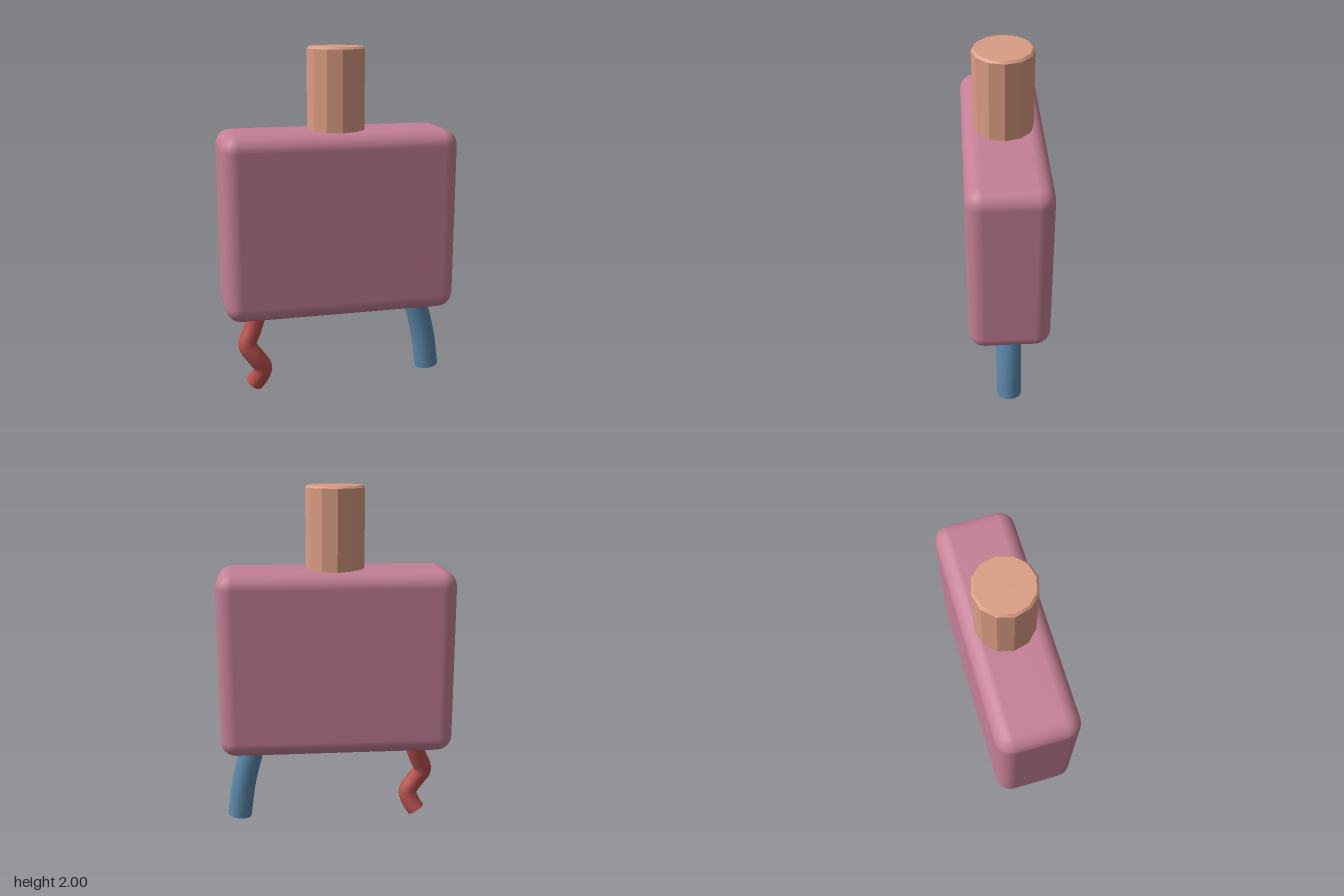
import * as THREE from 'three';
import { RoundedBoxGeometry } from 'three/addons/geometries/RoundedBoxGeometry.js';
import { toCreasedNormals } from 'three/addons/utils/BufferGeometryUtils.js';

function material(name, color) {
  const m = new THREE.MeshStandardMaterial({ color });
  m.name = name;
  return m;
}

function part(name, geometry, mat) {
  const mesh = new THREE.Mesh(geometry, mat);
  mesh.name = name;
  return mesh;
}

// Bent round rod with a flat cap on each end
function cappedTube(name, points, radius, mat) {
  const curve = new THREE.CatmullRomCurve3(points.map(p => new THREE.Vector3(...p)));
  const group = new THREE.Group();
  group.name = name;
  group.add(part(name + 'Rod', new THREE.TubeGeometry(curve, 40, radius, 16), mat));
  for (const [t, sign] of [[0, -1], [1, 1]]) {
    const cap = part(name + 'Cap', new THREE.CircleGeometry(radius, 16), mat);
    cap.position.copy(curve.getPointAt(t));
    const outward = curve.getTangentAt(t).multiplyScalar(sign);
    cap.quaternion.setFromUnitVectors(new THREE.Vector3(0, 0, 1), outward);
    group.add(cap);
  }
  return group;
}

export function createModel() {
  const pink = material('dusty pink', 0xc47f97);
  const peach = material('peach', 0xdb9d84);
  const red = material('brick red', 0xb9504e);
  const blue = material('steel blue', 0x5d88ab);
  const model = new THREE.Group();
  model.name = 'model';

  // Rounded slab body
  const body = part('body', new RoundedBoxGeometry(1.344, 1.06, 0.458, 3, 0.09), pink);
  body.position.y = 1.01;
  model.add(body);

  // Twelve-sided post with a small bevel around its top
  const profile = [[0, 1.45], [0.167, 1.45], [0.167, 1.988], [0.155, 2], [0, 2]]
    .map(p => new THREE.Vector2(...p));
  const post = new THREE.LatheGeometry(profile, 12);
  model.add(part('neck', toCreasedNormals(post, 0.4), peach));

  // Twisted thin leg
  model.add(cappedTube('rightLeg', [
    [-0.455, 0.56, 0], [-0.475, 0.47, 0], [-0.505, 0.38, 0.012], [-0.54, 0.285, 0.03],
    [-0.498, 0.215, 0.04], [-0.452, 0.14, 0.035], [-0.47, 0.08, 0.02], [-0.503, 0.03, 0.005],
  ], 0.054, red));

  // Gently bowed thick leg
  model.add(cappedTube('leftLeg', [
    [0.46, 0.56, 0], [0.493, 0.47, 0], [0.548, 0.26, 0], [0.58, 0.045, 0],
  ], 0.071, blue));

  return model;
}
